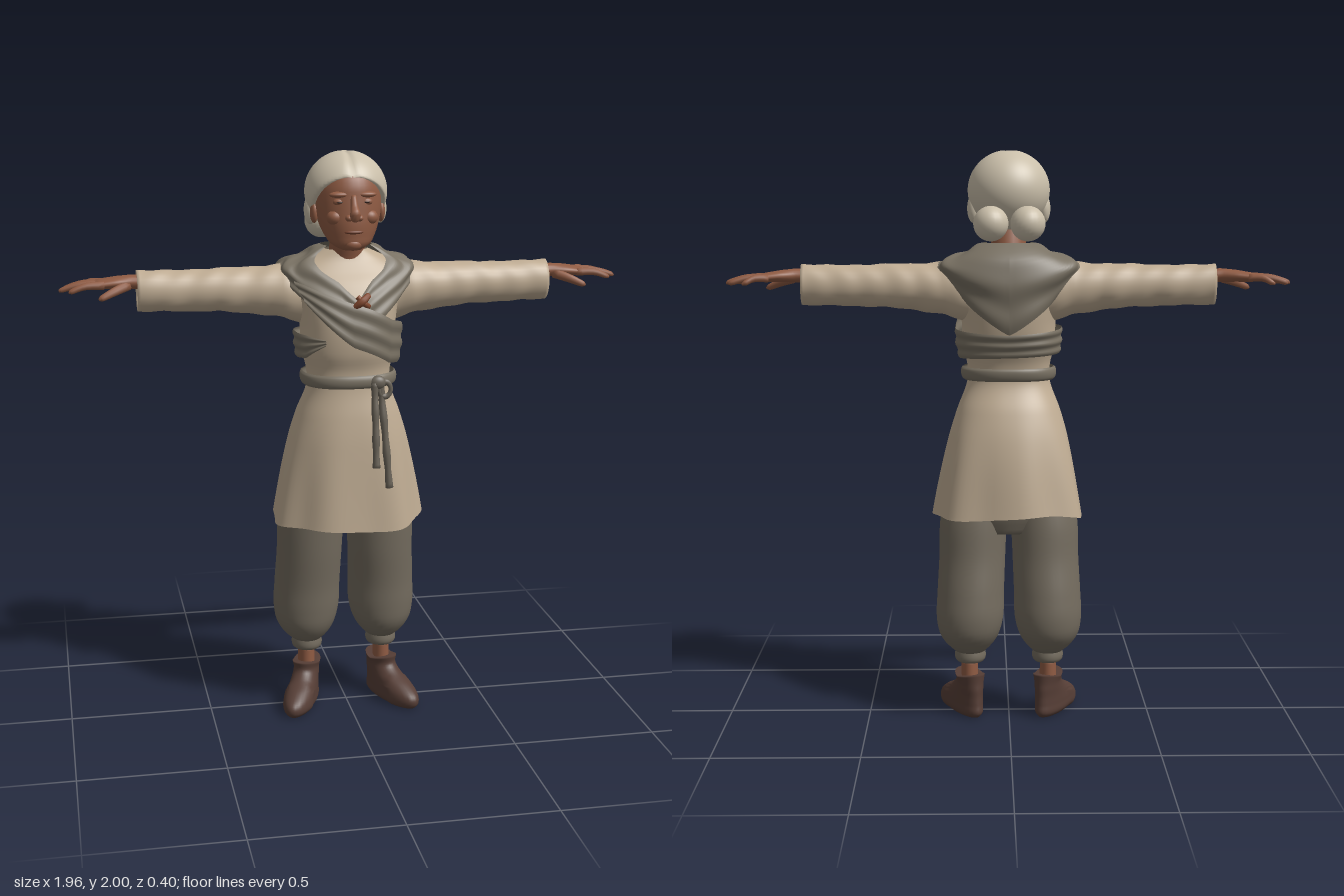
import * as THREE from 'three';

const mat = (name, color, side = THREE.FrontSide) => {
  const m = new THREE.MeshStandardMaterial({ color, side });
  m.name = name;
  return m;
};

// Interpolates rows of [t, values...]
function table(rows, Type = THREE.CubicInterpolant) {
  const size = rows[0].length - 1;
  const f = new Type(rows.map(r => r[0]), rows.flatMap(r => r.slice(1)), size);
  return t => Array.from(f.evaluate(t));
}

// Surface from fn(u, v): u runs along the part, v around it
function grid(nu, nv, fn, closed = true, caps = closed) {
  const pos = [], idx = [], w = closed ? nv : nv + 1;
  for (let i = 0; i <= nu; i++) for (let j = 0; j < w; j++) pos.push(...fn(i / nu, j / nv));
  for (let i = 0; i < nu; i++) for (let j = 0; j < nv; j++) {
    const k = (j + 1) % w, a = i * w + j, b = a + w, c = i * w + k, d = c + w;
    idx.push(a, b, c, b, d, c);
  }
  if (caps) for (const row of [0, nu]) {
    const mid = [0, 0, 0], n = pos.length / 3;
    for (let j = 0; j < w; j++) for (let k = 0; k < 3; k++) mid[k] += pos[(row * w + j) * 3 + k] / w;
    pos.push(...mid);
    for (let j = 0; j < w; j++) {
      const a = row * w + j, b = row * w + (j + 1) % w;
      idx.push(n, ...(row ? [b, a] : [a, b]));
    }
  }
  const g = new THREE.BufferGeometry();
  g.setAttribute('position', new THREE.Float32BufferAttribute(pos, 3));
  g.setIndex(idx);
  g.computeVertexNormals();
  return g;
}

// Upright loft from rows [y, cx, cz, rx, rz]
function loftY(rows, nu = 24, nv = 32) {
  const f = table(rows), y0 = rows[0][0], y1 = rows.at(-1)[0];
  return grid(nu, nv, (u, v) => {
    const y = y0 + (y1 - y0) * u, [cx, cz, rx, rz] = f(y), a = v * Math.PI * 2;
    return [cx + rx * Math.cos(a), y, cz + rz * Math.sin(a)];
  });
}

// Sideways loft from rows [t, x, cy, cz, ry, rz], with optional cloth wrinkles
function loftX(rows, nu, nv, wrinkle = 0) {
  const f = table(rows, THREE.LinearInterpolant), end = rows.at(-1)[0];
  return grid(nu, nv, (u, v) => {
    const [x, cy, cz, ry, rz] = f(u * end), a = v * Math.PI * 2;
    const k = 1 + wrinkle * Math.sin(48 * x + 3 * Math.sin(a)) * Math.sin(17 * x + a);
    return [x, cy + ry * k * Math.cos(a), cz - rz * k * Math.sin(a)];
  });
}

// Tapered tube through points [x, y, z, radius]
function taper(pts, nu = 10, nv = 10) {
  const curve = new THREE.CatmullRomCurve3(pts.map(p => new THREE.Vector3(p[0], p[1], p[2])));
  const { normals, binormals } = curve.computeFrenetFrames(nu);
  const rad = table(pts.map((p, i) => [i / (pts.length - 1), p[3]]), THREE.LinearInterpolant);
  return grid(nu, nv, (u, v) => {
    const i = Math.round(u * nu), a = v * Math.PI * 2, r = rad(u)[0];
    return curve.getPoint(u).addScaledVector(normals[i], r * Math.cos(a))
      .addScaledVector(binormals[i], -r * Math.sin(a)).toArray();
  });
}

const ball = (x, y, z, rx, ry = rx, rz = rx) =>
  new THREE.SphereGeometry(1, 24, 16).scale(rx, ry, rz).translate(x, y, z);

function mirror(g) {
  const m = g.clone().scale(-1, 1, 1), ix = m.index.array;
  for (let i = 0; i < ix.length; i += 3) [ix[i], ix[i + 1]] = [ix[i + 1], ix[i]];
  return m;
}

// Outer body shape: y, cz, rx, rz
const trunk = table([[0.7, 0.003, 0.265, 0.19], [0.95, 0.012, 0.222, 0.173], [1.1, 0.025, 0.185, 0.15],
  [1.2, 0.037, 0.155, 0.127], [1.26, 0.034, 0.158, 0.132], [1.32, 0.03, 0.173, 0.153], [1.42, 0.022, 0.178, 0.167],
  [1.5, 0.012, 0.195, 0.162], [1.57, -0.008, 0.238, 0.142], [1.6, -0.014, 0.248, 0.128],
  [1.625, -0.015, 0.215, 0.112], [1.65, -0.01, 0.15, 0.09], [1.68, 0, 0.085, 0.07]]);
const bend = c => Math.sign(c) * Math.abs(c) ** (2 / 2.3);
function body(deg, y, off = 0) {
  const a = THREE.MathUtils.degToRad(deg), [cz, rx, rz] = trunk(y);
  const flare = THREE.MathUtils.smoothstep(1.15 - y, 0, 0.45);
  const r = off + flare * 0.008 * Math.sin(7 * a + 1);
  const drop = flare ** 3 * (0.018 - 0.02 * Math.sin(a) + 0.008 * Math.cos(3 * a));
  return [(rx + r) * bend(Math.cos(a)), y + drop + off * THREE.MathUtils.smoothstep(y, 1.55, 1.62), cz + (rz + r) * bend(Math.sin(a))];
}
// Cloth lying on the body between two edges, each a list of [degrees, y]
function cloth(low, top, off, nu = 26, nv = 110) {
  const lo = table(low, THREE.LinearInterpolant), hi = table(top, THREE.LinearInterpolant);
  const a0 = low[0][0], a1 = low.at(-1)[0];
  return grid(nu, nv, (u, v) => {
    const a = a0 + (a1 - a0) * v, l = lo(a)[0], h = hi(a)[0];
    return body(a, l + (h - l) * u, off + 0.003 * Math.sin(u * 16));
  }, false);
}

export function createModel() {
  const root = new THREE.Group();
  const tunic = mat('cream cloth', 0xbfac93, THREE.DoubleSide), wrapCloth = mat('grey wrap cloth', 0x797163, THREE.DoubleSide);
  const trouser = mat('grey trouser cloth', 0x736b5e), hairMat = mat('pale hair', 0xcabfaa);
  const skin = mat('brown skin', 0x8f5b43), lip = mat('dark lip skin', 0x75432f), eye = mat('dark eye', 0x33241e);
  const leather = mat('dark leather', 0x563e36), sash = mat('sash cloth', 0x6a6358), wood = mat('clasp wood', 0x844a30);
  const add = (name, g, m) => {
    const mesh = new THREE.Mesh(g, m);
    mesh.name = name;
    root.add(mesh);
  };
  const pair = (name, g, m) => {
    add(name + 'Left', g, m);
    add(name + 'Right', mirror(g), m);
  };

  // Tunic, open at the hem
  add('tunic', grid(70, 72, (u, v) => body(v * 360, 0.7 + 0.98 * u, -0.012 * THREE.MathUtils.smoothstep(u, 0.3, 0.6)), true, false), tunic);
  pair('sleeve', loftX([[0, 0.13, 1.5, -0.005, 0.1, 0.09], [0.09, 0.22, 1.525, -0.005, 0.093, 0.088],
    [0.19, 0.32, 1.53, -0.005, 0.081, 0.077], [0.32, 0.45, 1.535, -0.006, 0.074, 0.068], [0.47, 0.6, 1.535, -0.007, 0.07, 0.062],
    [0.59, 0.72, 1.539, -0.008, 0.071, 0.058], [0.6, 0.72, 1.54, -0.008, 0.06, 0.048], [0.65, 0.67, 1.55, -0.008, 0.045, 0.038]], 65, 28, 0.035), tunic);

  // Shawl over the shoulders and the band wrapped round the chest
  add('shawl', cloth(
    [[-90, 1.37], [-45, 1.47], [-15, 1.57], [0, 1.6], [15, 1.59], [40, 1.5], [62, 1.45], [90, 1.4], [130, 1.46],
      [165, 1.585], [180, 1.6], [195, 1.57], [225, 1.47], [270, 1.37]],
    [[-90, 1.68], [35, 1.68], [45, 1.65], [62, 1.62], [78, 1.57], [88, 1.51], [100, 1.57], [118, 1.62], [135, 1.65], [145, 1.68], [270, 1.68]], 0.004), wrapCloth);
  add('chestBand', cloth(
    [[-240, 1.36], [-210, 1.31], [-180, 1.3], [-90, 1.29], [0, 1.28], [20, 1.28], [50, 1.29], [90, 1.35], [130, 1.465], [140, 1.5]],
    [[-240, 1.38], [-210, 1.39], [-180, 1.39], [-90, 1.37], [0, 1.385], [20, 1.42], [50, 1.44], [90, 1.5], [130, 1.56], [140, 1.57]], 0.011, 16), wrapCloth);
  add('claspPin', taper([[-0.01, 1.485, 0.178, 0.01], [0.02, 1.51, 0.19, 0.014], [0.045, 1.53, 0.175, 0.01]]), wood);
  add('claspBar', taper([[0.005, 1.525, 0.178, 0.009], [0.025, 1.505, 0.188, 0.011], [0.045, 1.49, 0.178, 0.009]]), wood);

  // Sash with knot and hanging ends
  add('sash', grid(10, 64, (u, v) => body(v * 360, 1.205 + 0.045 * u, 0.003 + 0.011 * Math.sin(u * Math.PI) ** 0.5), true, false), wrapCloth);
  add('sashKnot', ball(0.08, 1.225, 0.165, 0.028, 0.024, 0.018), sash);
  for (const [x0, x1, end] of [[0.068, 0.07, 0.93], [0.09, 0.118, 0.855]]) {
    const pts = [];
    for (let i = 0; i <= 6; i++) {
      const y = 1.225 + (end - 1.225) * i / 6, x = x0 + (x1 - x0) * i / 6;
      const [cz, rx, rz] = trunk(y);
      pts.push([x, y, cz + (rz + 0.008) * (1 - (x / rx) ** 2.3) ** (1 / 2.3) + 0.006, i % 2 ? 0.011 : 0.014]);
    }
    add('sashEnd', taper(pts, 24), sash);
  }
  add('sashLoop', new THREE.TorusGeometry(0.02, 0.008, 8, 20).scale(1, 1.3, 1).translate(0.105, 1.2, 0.165), sash);

  // Trousers, gathered above the ankle
  add('trouserHips', loftY([[0.67, 0, -0.02, 0.12, 0.09], [0.74, 0, -0.015, 0.2, 0.115], [0.95, 0, 0, 0.18, 0.12], [1.1, 0, 0.02, 0.14, 0.1]]), trouser);
  pair('trouserLeg', loftY([[0.235, 0.138, -0.045, 0.05, 0.056], [0.26, 0.14, -0.045, 0.078, 0.082], [0.3, 0.141, -0.05, 0.104, 0.11],
    [0.36, 0.139, -0.052, 0.118, 0.122], [0.45, 0.136, -0.046, 0.118, 0.122], [0.58, 0.13, -0.028, 0.117, 0.12],
    [0.7, 0.126, -0.018, 0.118, 0.12], [0.82, 0.115, -0.005, 0.11, 0.115]], 32), trouser);
  pair('trouserCuff', loftY([[0.2, 0.138, -0.045, 0.047, 0.052], [0.205, 0.138, -0.045, 0.052, 0.057],
    [0.24, 0.138, -0.045, 0.053, 0.058], [0.25, 0.138, -0.045, 0.05, 0.055]], 8), trouser);
  pair('ankle', loftY([[0.1, 0.14, -0.045, 0.03, 0.038], [0.22, 0.14, -0.045, 0.029, 0.038]], 4), skin);

  // Shoes, toes turned outward
  const shoe = loftY([[0, 0, 0.07, 0.04, 0.13], [0.012, 0, 0.07, 0.05, 0.142], [0.045, 0, 0.068, 0.052, 0.139], [0.075, 0, 0.045, 0.049, 0.114],
    [0.1, 0, 0.016, 0.046, 0.085], [0.125, 0, 0, 0.045, 0.067], [0.15, 0, 0, 0.05, 0.068]], 28);
  const sp = shoe.attributes.position;
  for (let i = 0; i < sp.count; i++) {
    const y = sp.getY(i), z = sp.getZ(i);
    if (y > 0.12) sp.setY(i, y + 14 * (y - 0.12) * (Math.abs(z) - 0.03) * 0.5);
    if (z > 0.1) sp.setX(i, sp.getX(i) * 1.12);
  }
  shoe.computeVertexNormals();
  pair('shoe', shoe.rotateY(0.42).translate(0.14, 0, -0.04), leather);

  // Hands
  pair('palm', loftX([[0, 0.66, 1.566, -0.008, 0.024, 0.03], [0.08, 0.74, 1.57, -0.012, 0.024, 0.031], [0.13, 0.79, 1.568, -0.018, 0.021, 0.044],
    [0.19, 0.85, 1.563, -0.025, 0.016, 0.054], [0.215, 0.875, 1.56, -0.026, 0.008, 0.042]], 20, 20), skin);
  for (const [z, tx, tz] of [[-0.065, 0.915, -0.095], [-0.04, 0.965, -0.062], [-0.012, 0.98, -0.018], [0.014, 0.948, 0.024]])
    pair('finger', taper([[0.83, 1.563, z, 0.014], [(0.84 + tx) / 2, 1.562, (z + tz) / 2, 0.0125],
      [tx - 0.01, 1.547, tz, 0.009], [tx, 1.543, tz, 0.004]]), skin);
  pair('thumb', taper([[0.75, 1.56, 0.005, 0.018], [0.8, 1.543, 0.038, 0.015], [0.84, 1.526, 0.055, 0.011], [0.85, 1.522, 0.058, 0.004]]), skin);

  // Neck, head and face
  add('neck', taper([[0, 1.58, -0.005, 0.07], [0, 1.65, 0.01, 0.06], [0, 1.74, 0.035, 0.062]], 10, 24), skin);
  add('head', loftY([[1.675, 0, 0.1, 0.032, 0.028], [1.69, 0, 0.085, 0.062, 0.058], [1.72, 0, 0.063, 0.085, 0.084], [1.76, 0, 0.045, 0.102, 0.104],
    [1.8, 0, 0.034, 0.112, 0.112], [1.85, 0, 0.026, 0.115, 0.115], [1.89, 0, 0.018, 0.111, 0.117], [1.93, 0, 0.004, 0.098, 0.11],
    [1.97, 0, 0, 0.055, 0.06]], 30, 36), skin);
  add('nose', taper([[0, 1.858, 0.134, 0.01], [0, 1.825, 0.15, 0.013], [0, 1.796, 0.168, 0.019], [0, 1.782, 0.158, 0.014]], 12, 14), skin);
  add('chin', ball(0, 1.696, 0.126, 0.032, 0.022, 0.024), skin);
  pair('nostril', ball(0.018, 1.786, 0.15, 0.013, 0.011, 0.014), skin);
  pair('brow', ball(0.045, 1.862, 0.122, 0.036, 0.011, 0.019), skin);
  pair('cheek', ball(0.058, 1.785, 0.112, 0.03, 0.026, 0.026), skin);
  pair('ear', ball(0.116, 1.795, 0.03, 0.014, 0.036, 0.023), skin);
  pair('eyelid', ball(0.045, 1.838, 0.122, 0.023, 0.013, 0.014), skin);
  pair('eye', ball(0.045, 1.837, 0.13, 0.014, 0.004, 0.008), eye);
  add('lips', ball(0, 1.738, 0.138, 0.034, 0.008, 0.015), lip);

  // Hair cut back along a sloping hairline, with a centre parting
  const hair = new THREE.SphereGeometry(1, 64, 48).scale(0.142, 0.138, 0.142).translate(0, 1.862, -0.004);
  const hp = hair.attributes.position;
  for (let i = 0; i < hp.count; i++) {
    let x = hp.getX(i), y = hp.getY(i), z = hp.getZ(i);
    const d = Math.max(0, 0.776 * z - 0.63 * (y - 1.77));
    z -= d * 0.776;
    y += d * 0.63;
    if (z > -0.03 && y > 1.9) y -= 0.007 * Math.exp(-((x / 0.012) ** 2));
    hp.setXYZ(i, x, y, z);
  }
  hair.computeVertexNormals();
  add('hair', hair, hairMat);
  pair('sideLock', ball(0.122, 1.8, -0.012, 0.022, 0.05, 0.03), hairMat);
  pair('hairBun', ball(0.063, 1.75, -0.125, 0.06), hairMat);
  return root;
}
